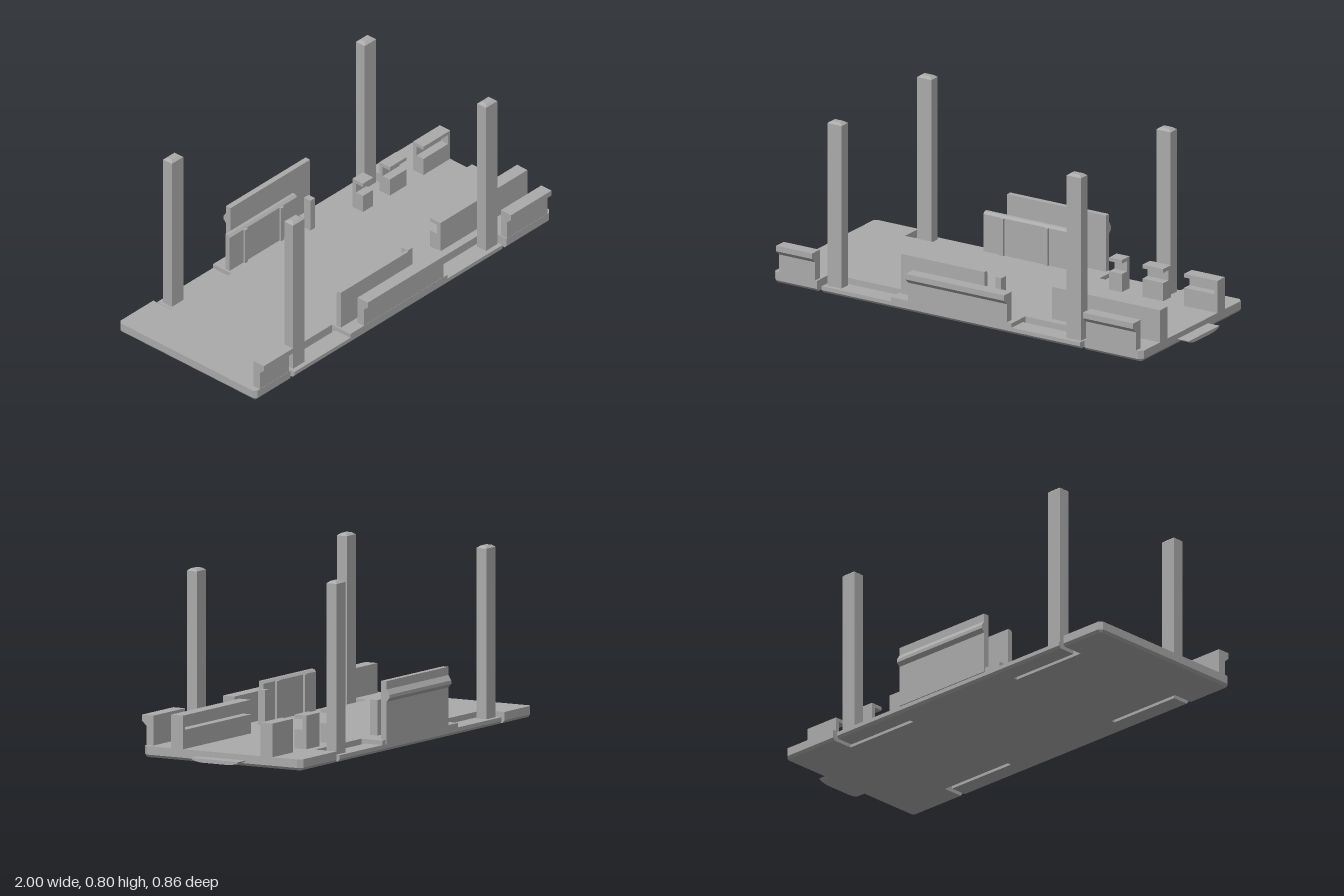
import * as THREE from 'three';

const plastic = new THREE.MeshStandardMaterial({ color: 0xaaaaaa });
plastic.name = 'grey plastic';

export function createModel() {
  const model = new THREE.Group();

  const add = (name, geometry) => {
    const flat = geometry.index ? geometry.toNonIndexed() : geometry;
    flat.computeVertexNormals();
    const mesh = new THREE.Mesh(flat, plastic);
    mesh.name = name;
    model.add(mesh);
    return mesh;
  };

  // Box given by its limits on each axis
  const box = (name, x0, x1, y0, y1, z0, z1) =>
    add(name, new THREE.BoxGeometry(x1 - x0, y1 - y0, z1 - z0)
      .translate((x0 + x1) / 2, (y0 + y1) / 2, (z0 + z1) / 2));

  // Profile of [z, y] points swept along x
  const sweep = (name, points, x0, x1) => {
    const shape = new THREE.Shape(points.map(([z, y]) => new THREE.Vector2(-z, y)));
    const geometry = new THREE.ExtrudeGeometry(shape, { depth: x1 - x0, bevelEnabled: false });
    return add(name, geometry.rotateY(Math.PI / 2).translate(x0, 0, 0));
  };

  // Outline symmetric in z, from the points of its front half
  const slab = (name, half, holes, y0, y1) => {
    const back = half.map(([x, z]) => [x, -z]).reverse();
    const shape = new THREE.Shape([...half, ...back].map(([x, z]) => new THREE.Vector2(x, z)));
    for (const x of holes) {
      const hole = new THREE.Path();
      hole.absarc(x, -0.2, 0.023, 0, Math.PI * 2, true);
      shape.holes.push(hole);
    }
    const geometry = new THREE.ExtrudeGeometry(shape, { depth: y1 - y0, bevelEnabled: false, curveSegments: 10 });
    return add(name, geometry.rotateX(Math.PI / 2).translate(0, y1, 0));
  };

  // Base plate: the lower layers keep the spring arms, the top layer leaves them free
  const lower = [
    [-1, 0.395], [-0.985, 0.41], [-0.77, 0.41], [-0.77, 0.3], [-0.38, 0.3], [-0.38, 0.32],
    [-0.745, 0.32], [-0.745, 0.41], [0.615, 0.41], [0.615, 0.32], [0.255, 0.32],
    [0.255, 0.3], [0.64, 0.3], [0.64, 0.41], [0.92, 0.41], [0.94, 0.39],
  ];
  const upper = [
    [-1, 0.395], [-0.985, 0.41], [-0.77, 0.41], [-0.77, 0.3], [-0.38, 0.3], [-0.38, 0.41],
    [0.255, 0.41], [0.255, 0.3], [0.64, 0.3], [0.64, 0.41], [0.92, 0.41], [0.94, 0.39],
  ];
  const throughHoles = [0.71, 0.49];
  const blindHoles = [0.585];
  for (let i = 1; i <= 15; i++) blindHoles.push(0.49 - i * 0.0885);
  const allHoles = [...throughHoles, ...blindHoles];

  const underside = slab('baseUnderside', lower, allHoles, 0, 0.012);
  const p = underside.geometry.attributes.position;
  for (let i = 0; i < p.count; i++) {
    if (p.getY(i) > 0.006) continue;
    p.setX(i, THREE.MathUtils.clamp(p.getX(i), -0.99, 0.93));
    p.setZ(i, THREE.MathUtils.clamp(p.getZ(i), -0.4, 0.4));
  }
  underside.geometry.computeVertexNormals();
  slab('baseMiddle', lower, allHoles, 0.012, 0.03);
  slab('baseTop', upper, throughHoles, 0.03, 0.05);

  // End tab with rounded lower corners
  sweep('endTab', [
    [-0.125, 0.025], [-0.115, 0.017], [-0.095, 0.011], [-0.07, 0.008],
    [0.07, 0.008], [0.095, 0.011], [0.115, 0.017], [0.125, 0.025],
  ], 0.925, 1);

  // Four posts with chamfered tops, standing on the spring arms
  for (const x of [-0.6925, 0.5675]) {
    for (const z of [-0.362, 0.362]) {
      const post = new THREE.BoxGeometry(0.075, 0.79, 0.052, 1, 2, 1);
      const v = post.attributes.position;
      for (let i = 0; i < v.count; i++) {
        const y = v.getY(i);
        if (Math.abs(y) < 0.01) v.setY(i, 0.385);
        else if (y > 0) {
          v.setX(i, v.getX(i) - Math.sign(v.getX(i)) * 0.014);
          v.setZ(i, v.getZ(i) - Math.sign(v.getZ(i)) * 0.012);
        }
      }
      add('post', post.translate(x, 0.405, z));
    }
  }

  // Front clips with an outward lip
  const frontClip = [
    [0.372, 0.045], [0.409, 0.045], [0.409, 0.135], [0.433, 0.157], [0.433, 0.183], [0.372, 0.183],
  ];
  for (const [x0, x1] of [[-0.97, -0.78], [-0.29, 0.23], [0.645, 0.91]]) {
    sweep('frontClip', frontClip, x0, x1);
  }

  // Tall back clip with an outward ridge
  sweep('backClip', [
    [-0.388, 0.03], [-0.388, 0.312], [-0.415, 0.312], [-0.415, 0.275],
    [-0.43, 0.252], [-0.43, 0.237], [-0.415, 0.22], [-0.415, 0.03],
  ], -0.29, 0.23);

  // Parts repeated on both long sides
  for (const s of [-1, 1]) {
    const wall = [[0.32, 0.045], [0.345, 0.045], [0.345, 0.235], [0.33, 0.235], [0.32, 0.224]];
    sweep('innerWall', wall.map(([z, y]) => [s * z, y]), -0.37, 0.07);
    for (const x of [-0.27, -0.035]) {
      box('wallRib', x - 0.01, x + 0.01, 0.045, 0.224, s * 0.3175 - 0.0075, s * 0.3175 + 0.0075);
    }
    box('smallPost', 0.105, 0.135, 0.045, 0.208, s * 0.291 - 0.019, s * 0.291 + 0.019);
  }

  // Board holders with a groove facing the middle
  const holder = [
    [0.2, 0.045], [0.262, 0.045], [0.262, 0.2], [0.2, 0.2],
    [0.2, 0.183], [0.242, 0.183], [0.242, 0.135], [0.2, 0.135],
  ];
  for (const [name, s, x0, x1] of [
    ['frontRail', 1, 0.37, 0.925], ['backHolder', -1, 0.37, 0.437],
    ['backHolder', -1, 0.545, 0.655], ['backHolder', -1, 0.765, 0.925],
  ]) {
    sweep(name, holder.map(([z, y]) => [s * z, y]), x0, x1);
  }
  box('railStop', 0.925, 0.94, 0.045, 0.2, 0.2, 0.262);
  box('holderStop', 0.925, 0.94, 0.045, 0.2, -0.262, -0.2);

  return model;
}
